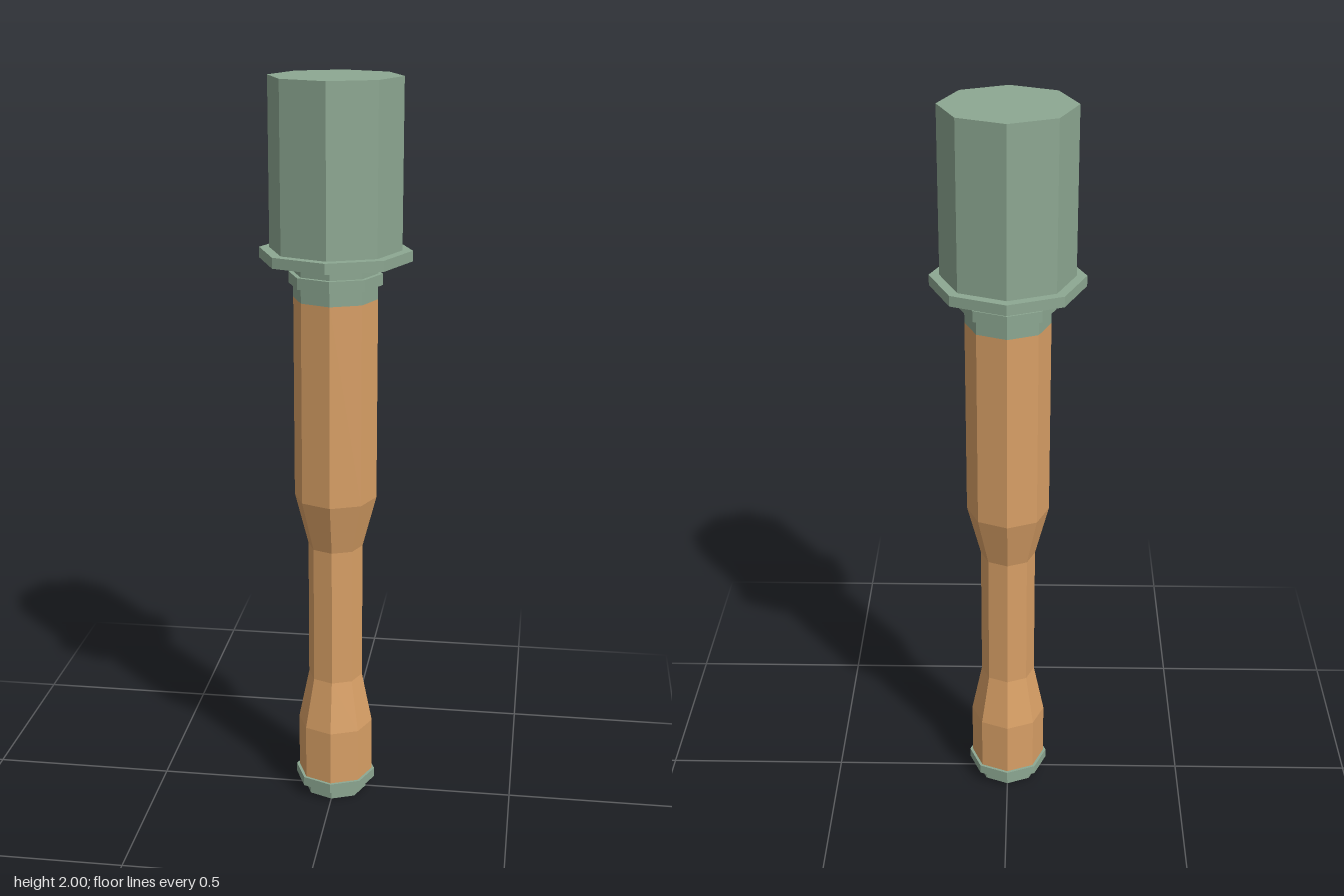
import * as THREE from 'three';

const green = new THREE.MeshStandardMaterial({ color: 0x8da892 });
green.name = 'grey green paint';
const wood = new THREE.MeshStandardMaterial({ color: 0xd9a066 });
wood.name = 'light wood';

// Eight-sided turned part with faceted normals; profile runs bottom to top as [radius, height]
function turned(name, profile, material) {
  const points = profile.map(([r, y]) => new THREE.Vector2(r, y));
  const geometry = new THREE.LatheGeometry(points, 8).toNonIndexed();
  geometry.computeVertexNormals();
  const mesh = new THREE.Mesh(geometry, material);
  mesh.name = name;
  return mesh;
}

// Closed straight drum
const drum = (name, r, y0, y1) =>
  turned(name, [[0, y0], [r, y0], [r, y1], [0, y1]], green);

export function createModel() {
  const group = new THREE.Group();
  group.name = 'stickWithCylinderHead';

  // End cap at the foot
  group.add(drum('endCap', 0.088, 0, 0.032));
  group.add(drum('endCapRim', 0.112, 0.032, 0.058));

  // Wooden handle with a narrow grip
  group.add(turned('handle', [
    [0.104, 0.058], [0.104, 0.212],
    [0.075, 0.355], [0.075, 0.743],
    [0.112, 0.885], [0.112, 1.432],
  ], wood));

  // Stepped collar joining handle and head
  group.add(drum('lowerCollar', 0.112, 1.432, 1.47));
  group.add(drum('collarRing', 0.124, 1.47, 1.5));
  group.add(drum('upperCollar', 0.112, 1.5, 1.534));

  // Head with a flange at its base
  group.add(drum('headFlange', 0.201, 1.534, 1.562));
  group.add(drum('head', 0.174, 1.562, 2));

  return group;
}
